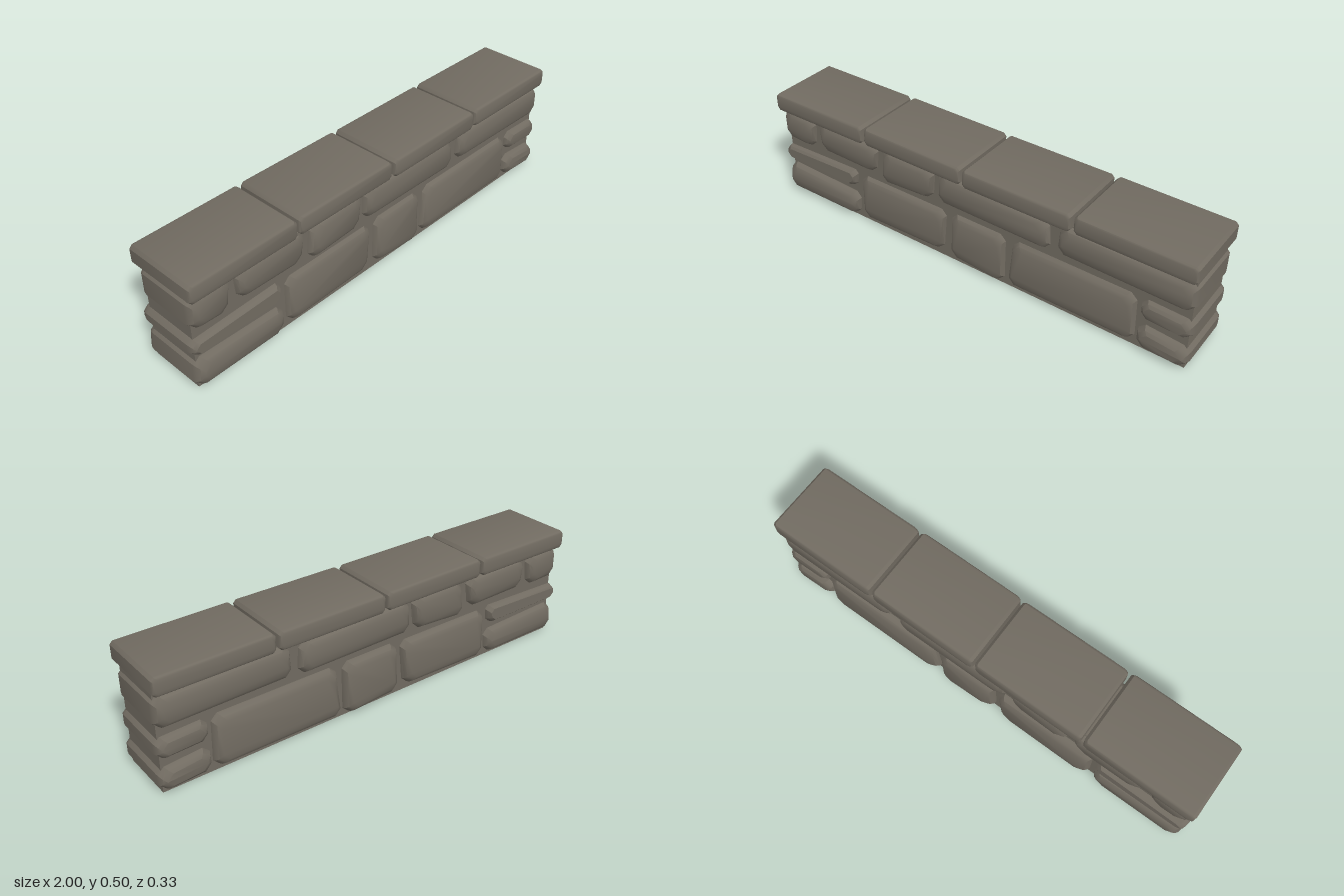
import * as THREE from 'three';
import { toCreasedNormals } from 'three/addons/utils/BufferGeometryUtils.js';

// Quad outline [bl, br, tr, tl], pulled in by `inset`, with its corners cut
function outline(q, inset, cut) {
  const cx = q.reduce((s, p) => s + p[0], 0) / 4;
  const cy = q.reduce((s, p) => s + p[1], 0) / 4;
  const c = q.map(([x, y]) => new THREE.Vector2(x - Math.sign(x - cx) * inset, y - Math.sign(y - cy) * inset));
  const pts = [];
  c.forEach((p, i) => {
    for (const n of [c[(i + 3) % 4], c[(i + 1) % 4]]) {
      pts.push(p.clone().add(n.clone().sub(p).setLength(cut)));
    }
  });
  return pts;
}

// Stone running through the wall: stacked outlines from back to front.
// tilt leans the two outer faces so that they are thicker at the bottom.
function stoneGeometry(q, front, back, bevel, depth, cut, tilt = 0) {
  const midY = (q[0][1] + q[2][1]) / 2;
  const steps = [[1, 0], [0.62, 0.13], [0.25, 0.45], [0, 1]]; // share of depth, share of bevel
  const layers = [
    ...steps.map(([d, b]) => [-(back - d * depth), b, -1]).reverse(),
    ...steps.map(([d, b]) => [front - d * depth, b, 1]),
  ];
  const pos = [], idx = [], n = 8;
  for (const [z, b, side] of layers) {
    for (const p of outline(q, b * bevel, cut)) pos.push(p.x, p.y, z - side * tilt * (p.y - midY));
  }
  for (let r = 0; r < layers.length - 1; r++) {
    for (let i = 0; i < n; i++) {
      const a = r * n + i, b = r * n + (i + 1) % n;
      idx.push(a, b, b + n, a, b + n, a + n);
    }
  }
  const last = (layers.length - 1) * n;
  for (let i = 1; i < n - 1; i++) idx.push(0, i + 1, i, last, last + i, last + i + 1);
  const g = new THREE.BufferGeometry();
  g.setAttribute('position', new THREE.Float32BufferAttribute(pos, 3));
  g.setIndex(idx);
  return toCreasedNormals(g, 0.6);
}

export function createModel() {
  const wall = new THREE.Group();
  wall.name = 'stoneWall';
  const stone = new THREE.MeshStandardMaterial({ color: 0x716b61 });
  stone.name = 'greyStone';

  const add = (name, geometry) => {
    const m = new THREE.Mesh(geometry, stone);
    m.name = name;
    wall.add(m);
  };

  // Mortar core
  const core = new THREE.BoxGeometry(1.96, 0.42, 0.24);
  core.translate(0, 0.21, 0);
  add('core', core);

  // Upper course: corners, front depth, back depth
  const upper = [
    [[[-0.99, 0.275], [-0.82, 0.27], [-0.805, 0.415], [-0.99, 0.42]], 0.15, 0.15],
    [[[-0.78, 0.28], [-0.47, 0.275], [-0.45, 0.415], [-0.79, 0.418]], 0.148, 0.152],
    [[[-0.44, 0.255], [-0.17, 0.27], [-0.155, 0.42], [-0.425, 0.415]], 0.152, 0.152],
    [[[-0.145, 0.275], [0.395, 0.27], [0.385, 0.41], [-0.14, 0.42]], 0.148, 0.155],
    [[[0.42, 0.28], [0.99, 0.272], [0.99, 0.41], [0.43, 0.418]], 0.15, 0.154],
  ];
  // Lower course of large blocks and thin end stones
  const lower = [
    [[[-1, 0.162], [-0.59, 0.16], [-0.58, 0.245], [-1, 0.232]], 0.147, 0.15],
    [[[-1, 0.012], [-0.585, 0.012], [-0.575, 0.128], [-0.99, 0.142]], 0.155, 0.152],
    [[[-0.56, 0.02], [-0.12, 0.03], [-0.1, 0.24], [-0.56, 0.238]], 0.148, 0.157],
    [[[-0.085, 0.025], [0.185, 0.008], [0.19, 0.245], [-0.08, 0.245]], 0.148, 0.158],
    [[[0.2, 0.02], [0.775, 0.022], [0.77, 0.245], [0.22, 0.245]], 0.148, 0.157],
    [[[0.785, 0.155], [0.995, 0.148], [0.995, 0.238], [0.785, 0.245]], 0.147, 0.15],
    [[[0.78, 0.022], [0.995, 0.012], [0.995, 0.108], [0.785, 0.125]], 0.153, 0.152],
  ];
  for (const [list, name, tilt] of [[upper, 'upperStone', 0], [lower, 'lowerStone', 0.02]]) {
    list.forEach(([q, front, back], i) => {
      const height = q[3][1] - q[0][1];
      const bevel = Math.min(0.03, height * 0.22);
      add(name + (i + 1), stoneGeometry(q, front, back, bevel, 0.04, Math.min(0.026, height * 0.25), tilt));
    });
  }

  // Coping slabs
  const slabs = [[-0.997, -0.511], [-0.499, -0.01], [0.002, 0.489], [0.502, 0.992]];
  slabs.forEach(([a, b], i) => {
    const d = i % 2 ? 0.003 : 0;
    const q = [[a, 0.418 + d], [b, 0.42], [b, 0.5], [a, 0.498 + d]];
    add('copingSlab' + (i + 1), stoneGeometry(q, 0.165 - d, 0.165, 0.011, 0.013, 0.012));
  });

  return wall;
}
